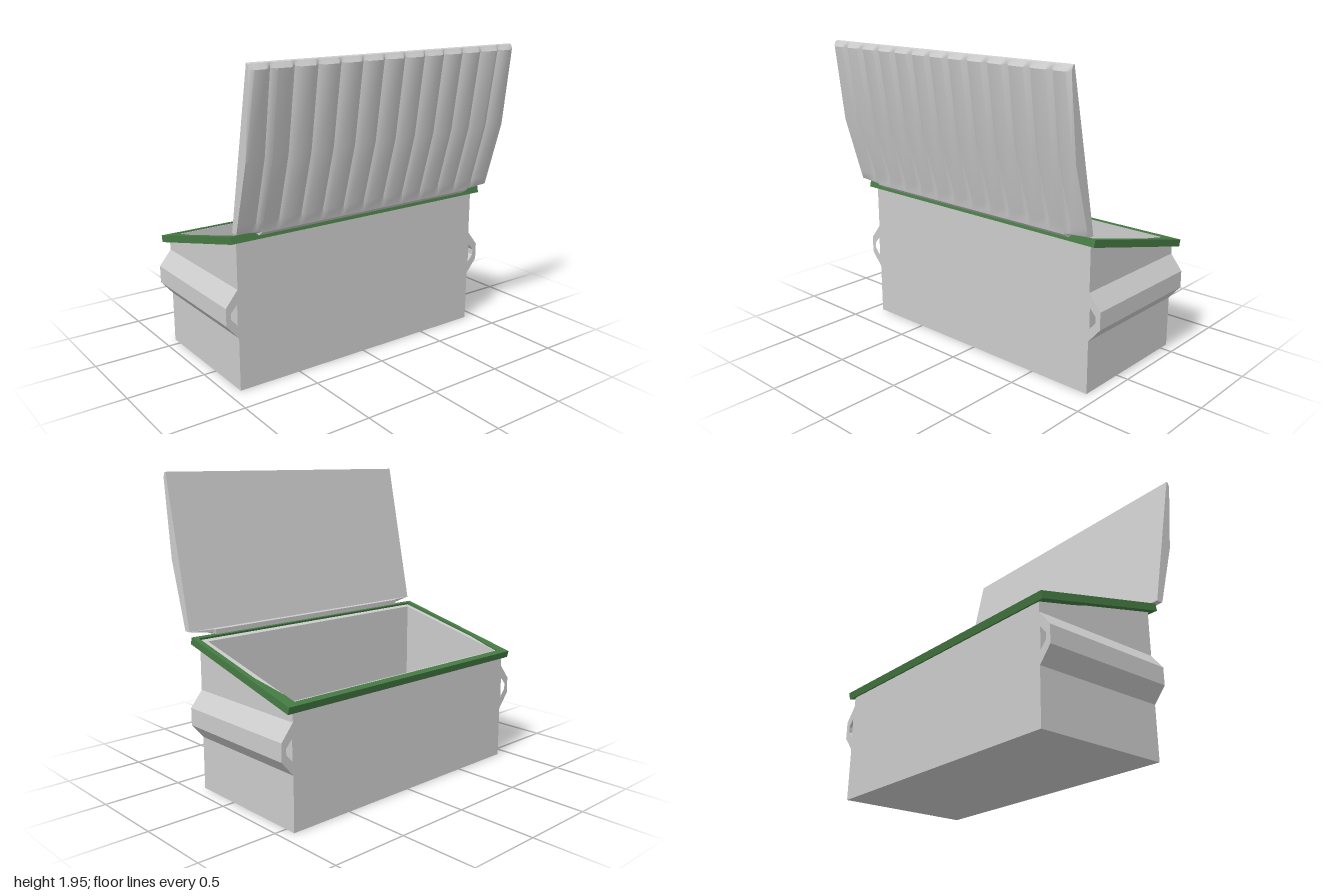
import * as THREE from 'three';
import { toCreasedNormals } from 'three/addons/utils/BufferGeometryUtils.js';

const grey = new THREE.MeshStandardMaterial({ color: 0xcccccc });
const green = new THREE.MeshStandardMaterial({ color: 0x467b43 });
const W = 0.92, FRONT = 0.31, BACK = -0.57, T = 0.035;
const vecs = pts => pts.map(p => new THREE.Vector2(...p));

function add(parent, name, geometry, material = grey) {
  const mesh = new THREE.Mesh(geometry, material);
  mesh.name = name;
  parent.add(mesh);
  return mesh;
}

function extrude(pts, depth, hole) {
  const shape = new THREE.Shape(vecs(pts));
  if (hole) shape.holes.push(new THREE.Path(vecs(hole)));
  return new THREE.ExtrudeGeometry(shape, { depth, bevelEnabled: false });
}

// Side profile given as [z, y], spanning x0 to x1
const slab = (pts, x0, x1) => extrude(pts, x1 - x0).rotateY(-Math.PI / 2).translate(x1, 0, 0);

// Open bin with a sloping top edge
function makeBody() {
  const body = new THREE.Group();
  body.name = 'body';
  const top = z => 0.957 + (z - 0.33) * 0.246;
  const wall = (z0, z1) => [[z0, 0], [z1, 0], [z1, top(z1)], [z0, top(z0)]];
  add(body, 'leftWall', slab(wall(BACK, FRONT), W - T, W));
  add(body, 'rightWall', slab(wall(BACK, FRONT), -W, T - W));
  add(body, 'frontWall', slab(wall(FRONT - T, FRONT), T - W, W - T));
  add(body, 'backWall', slab(wall(BACK, BACK + T), T - W, W - T));
  add(body, 'floor', slab([[BACK + T, 0], [FRONT - T, 0], [FRONT - T, 0.03], [BACK + T, 0.03]], T - W, W - T));
  return body;
}

// Hollow lifting rail along each side
function makeRail(side) {
  const mirror = pts => pts.map(([x, y]) => [x * side, y]);
  return extrude(
    mirror([[0.919, 0.335], [1, 0.43], [1, 0.54], [0.919, 0.64]]), FRONT - BACK,
    mirror([[0.926, 0.418], [0.968, 0.465], [0.968, 0.503], [0.926, 0.55]])
  ).translate(0, 0, BACK);
}

// Sloping rim frame, its opening narrowing toward the back
function makeRim() {
  const half = 0.478, w = 0.965;
  const right = [[0.93, -0.451], [0.93, 0.12], [0.895, 0.36], [0.895, 0.436]];
  const hole = [...right, ...right.map(([x, y]) => [-x, y]).reverse()];
  return extrude([[-w, -half], [w, -half], [w, half], [-w, half]], 0.045, hole)
    .rotateX(-Math.PI / 2).rotateX(-0.246).translate(0, 0.8105, -0.1215);
}

// Lid cross-section as [z, y] at a given x; g is the groove depth factor
function lidSection(x, g) {
  const ax = Math.abs(x);
  const end = ax > 0.95 ? 1 : 0;
  const k = ax >= 0.8 ? Math.max(0.05, 0.65 * (0.965 - ax) / 0.165) : 1;
  const cut = (z, y, d) => [z - 0.97 * d * g, y + 0.2 * d * g];
  const curl = (z, y) => [z, 1 + (y - 1) * k];
  const inner = 0.352;
  return [
    [inner, 1],
    [0.555, 1.953],
    end ? [0.568, 1.947] : cut(0.575, 1.948, 0.004),
    end ? [0.578, 1.922] : cut(0.596, 1.917, 0.02),
    cut(0.523, 1.43, 0.02),
    cut(0.413, 1.05, 0.016),
    [0.40, 1.005],
    curl(0.395, 0.98),
    curl(0.36, 0.955),
    curl(inner - 0.032 * k, 0.965),
    [inner - 0.034 * k, 0.999],
  ];
}

// Ribbed lid lofted across x, with a rolled hinge edge at the bottom
function makeLid() {
  const stations = [[-0.965, 0], [-0.94, 0], [-0.8, 0], [-0.799, 0], [0.799, 0], [0.8, 0], [0.94, 0], [0.965, 0]];
  for (let i = 0; i < 12; i++) {
    const x = (i - 5.5) * 0.152;
    stations.push([x - 0.028, 0], [x, 1], [x + 0.028, 0]);
  }
  stations.sort((a, b) => a[0] - b[0]);
  const sections = stations.map(([x, g]) => lidSection(x, g));
  const n = sections[0].length, pos = [], index = [];
  sections.forEach((s, i) => s.forEach(([z, y]) => pos.push(stations[i][0], y, z)));
  for (let i = 0; i < sections.length - 1; i++) {
    for (let j = 0; j < n; j++) {
      const a = i * n + j, b = i * n + (j + 1) % n;
      index.push(a, b, a + n, b, b + n, a + n);
    }
  }
  // End caps
  for (const i of [0, sections.length - 1]) {
    const pts = vecs(sections[i]);
    for (const [a, b, c] of THREE.ShapeUtils.triangulateShape(pts, [])) {
      const ccw = THREE.ShapeUtils.area([pts[a], pts[b], pts[c]]) > 0;
      const tri = ccw === (i === 0) ? [a, b, c] : [a, c, b];
      index.push(...tri.map(v => v + i * n));
    }
  }
  const geometry = new THREE.BufferGeometry();
  geometry.setAttribute('position', new THREE.Float32BufferAttribute(pos, 3));
  geometry.setIndex(index);
  return toCreasedNormals(geometry, 0.65);
}

export function createModel() {
  const model = new THREE.Group();
  model.name = 'wasteBin';
  model.add(makeBody());
  add(model, 'leftLiftRail', makeRail(1));
  add(model, 'rightLiftRail', makeRail(-1));
  add(model, 'rim', makeRim(), green);
  add(model, 'lid', makeLid());
  return model;
}
